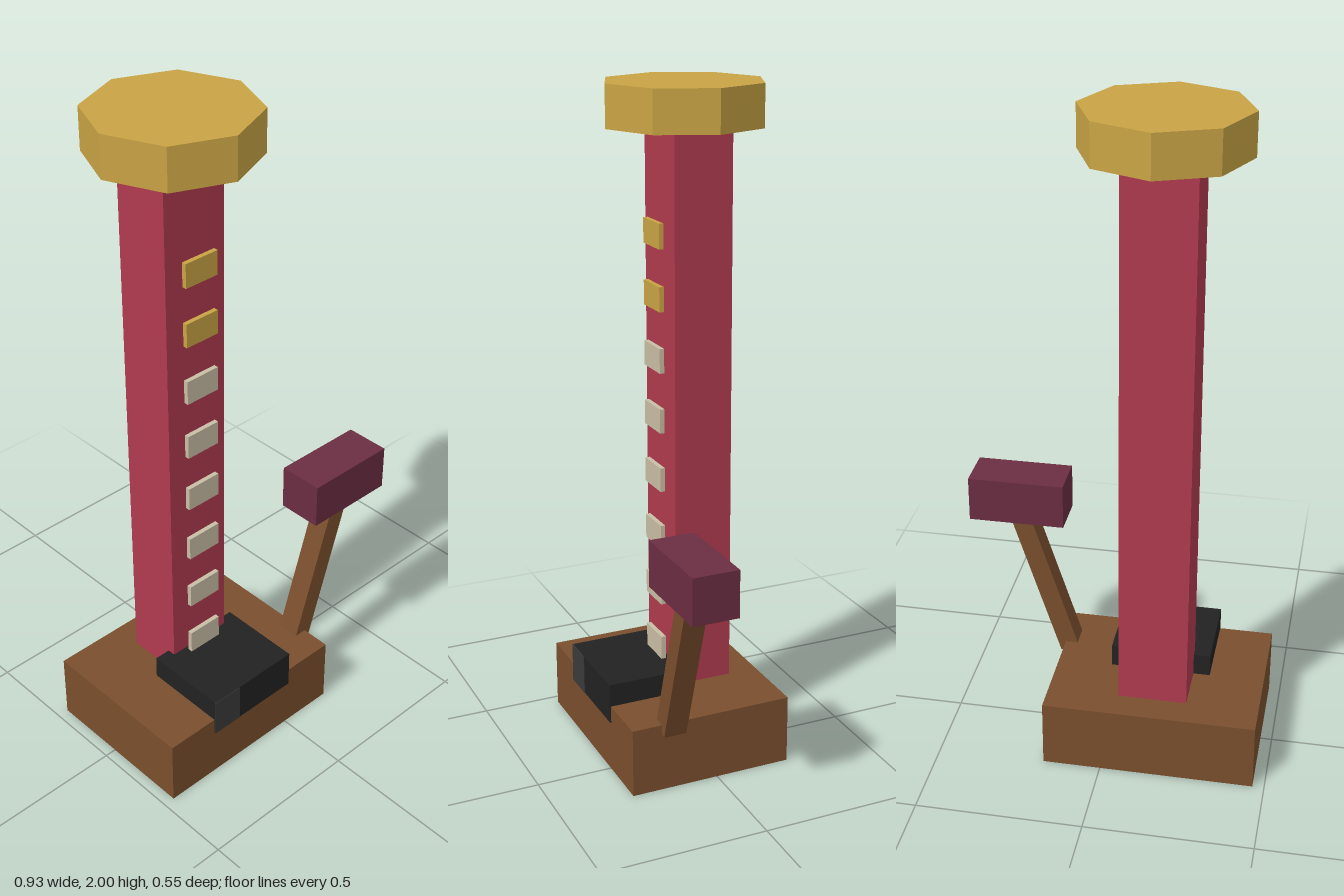
import * as THREE from 'three';

const mat = (name, color) => {
  const m = new THREE.MeshStandardMaterial({ color, flatShading: true });
  m.name = name;
  return m;
};

export function createModel() {
  const wood = mat('wood', 0x7a4e2d);
  const red = mat('crimson', 0xb03a4e);
  const gold = mat('gold', 0xc9a445);
  const cream = mat('cream', 0xc9bda5);
  const black = mat('black', 0x222222);
  const grey = mat('dark grey', 0x3a3a3a);
  const plum = mat('plum', 0x6b2d42);

  const model = new THREE.Group();
  model.name = 'strengthTester';

  const add = (parent, name, geometry, material, x, y, z) => {
    const mesh = new THREE.Mesh(geometry, material);
    mesh.name = name;
    mesh.position.set(x, y, z);
    parent.add(mesh);
    return mesh;
  };
  const box = (w, h, d) => new THREE.BoxGeometry(w, h, d);
  const towerX = -0.144;

  // Base and tower
  add(model, 'base', box(0.64, 0.21, 0.502), wood, -0.145, 0.105, 0.018);
  add(model, 'tower', box(0.207, 1.68, 0.178), red, towerX, 1.04, -0.053);

  // Eight-sided bell on top
  add(model, 'bell', new THREE.CylinderGeometry(0.236, 0.236, 0.122, 8), gold, towerX, 1.939, -0.04);

  // Score lights floating just ahead of the tower, the top two gold
  const lights = new THREE.Group();
  lights.name = 'scoreLights';
  model.add(lights);
  for (let i = 0; i < 8; i++) {
    add(lights, 'scoreLight', box(0.112, 0.073, 0.014), i < 6 ? cream : gold,
      towerX, 0.317 + i * 0.1805, 0.056);
  }

  // Strike pad with a lighter panel on its front
  add(model, 'strikePad', box(0.306, 0.122, 0.262), black, -0.145, 0.219, 0.142);
  add(model, 'padPanel', box(0.098, 0.122, 0.003), grey, -0.249, 0.219, 0.273);

  // Leaning mallet: the handle runs from its foot into the head
  const foot = new THREE.Vector3(0.161, 0.186, 0.142);
  const top = new THREE.Vector3(0.33, 0.71, 0.142);
  const mallet = new THREE.Group();
  mallet.name = 'mallet';
  model.add(mallet);
  const mid = foot.clone().add(top).multiplyScalar(0.5);
  const handle = add(mallet, 'malletHandle', box(0.061, foot.distanceTo(top), 0.07), wood, mid.x, mid.y, mid.z);
  handle.rotation.z = -Math.atan2(top.x - foot.x, top.y - foot.y);
  add(mallet, 'malletHead', box(0.292, 0.14, 0.139), plum, 0.316, 0.72, 0.142);

  return model;
}
